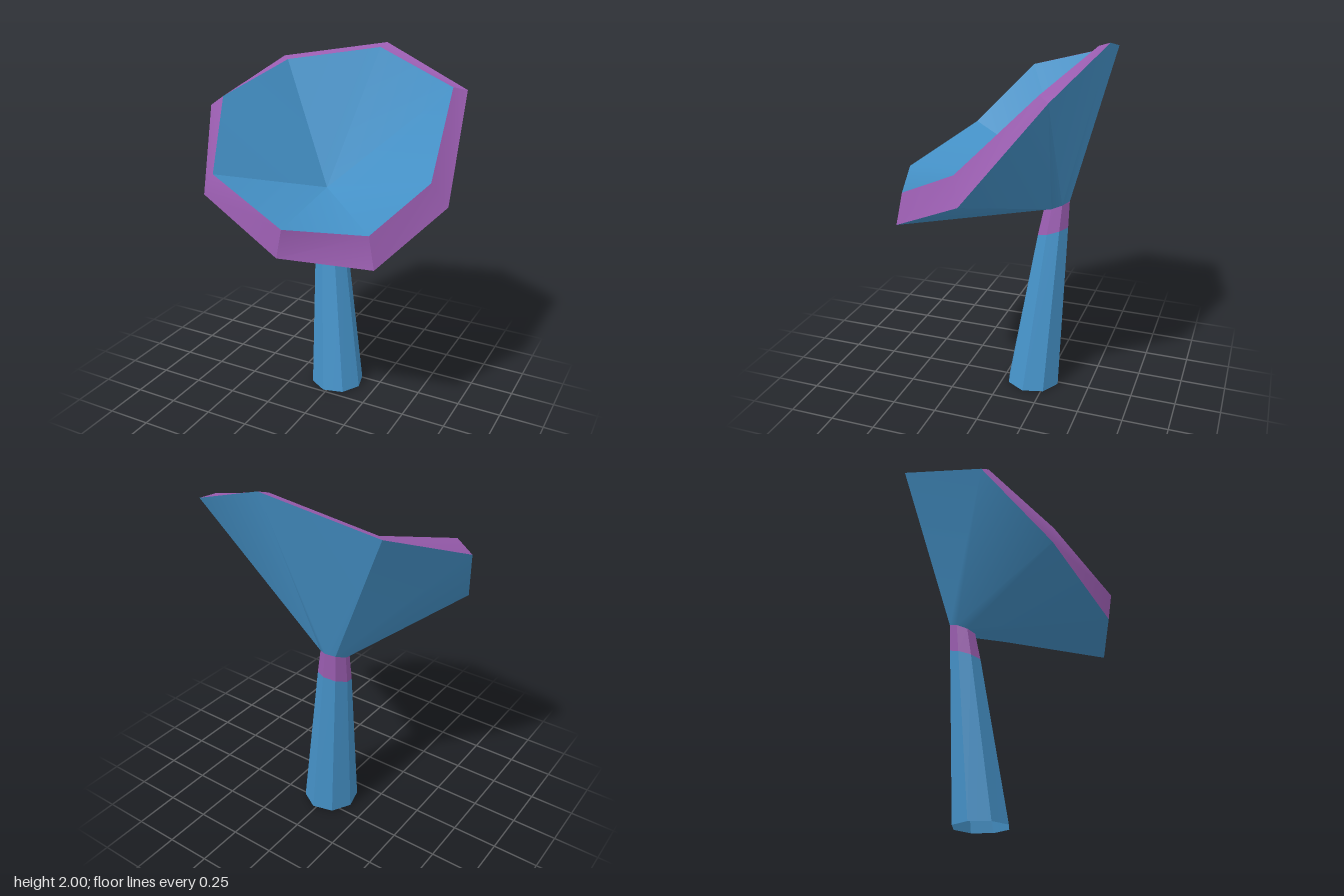
import * as THREE from 'three';
import { toCreasedNormals } from 'three/addons/utils/BufferGeometryUtils.js';

const SIDES = 8;
const CREASE = THREE.MathUtils.degToRad(35);

// Octagonal ring, starting at the front and running towards +x; tilts slope it in x and z
function ring(cx, cy, cz, r, tiltX = 0, tiltZ = 0) {
  const points = [];
  for (let i = 0; i < SIDES; i++) {
    const a = -0.13 + (i * Math.PI * 2) / SIDES;
    const dx = Math.sin(a) * r, dz = Math.cos(a) * r;
    points.push([cx + dx, cy + dx * tiltX + dz * tiltZ, cz + dz]);
  }
  return points;
}

function geometryOf(triangles) {
  const geometry = new THREE.BufferGeometry();
  geometry.setAttribute('position', new THREE.Float32BufferAttribute(triangles.flat(2), 3));
  return toCreasedNormals(geometry, CREASE);
}

// Wall of quads between two rings
function band(lower, upper) {
  const triangles = [];
  for (let i = 0; i < SIDES; i++) {
    const j = (i + 1) % SIDES;
    triangles.push([lower[i], lower[j], upper[j]], [lower[i], upper[j], upper[i]]);
  }
  return geometryOf(triangles);
}

// Fan of triangles from a ring to a single point
function fan(rim, apex) {
  return geometryOf(rim.map((p, i) => [p, rim[(i + 1) % SIDES], apex]));
}

export function createModel() {
  const group = new THREE.Group();
  const blue = new THREE.MeshStandardMaterial({ color: 0x4592c8, side: THREE.DoubleSide });
  blue.name = 'blue';
  const purple = new THREE.MeshStandardMaterial({ color: 0x9a5db0, side: THREE.DoubleSide });
  purple.name = 'purple';

  const add = (name, geometry, material) => {
    const mesh = new THREE.Mesh(geometry, material);
    mesh.name = name;
    group.add(mesh);
  };

  // Leaning stem sections
  const foot = ring(0, 0, -0.168, 0.155);
  const collarBottom = ring(-0.089, 0.92, -0.243, 0.09, 0.08, -0.34);
  const collarTop = ring(-0.103, 1.07, -0.258, 0.076, 0, -0.4);

  // Lopsided cup edge, outer and inner
  const outerRim = [
    [0.01, 1.09, 0.54], [0.49, 1.08, 0.43], [0.70, 1.30, 0], [0.63, 1.81, -0.41],
    [0.10, 2.00, -0.56], [-0.52, 1.89, -0.48], [-0.70, 1.68, 0.03], [-0.54, 1.28, 0.36],
  ];
  const innerRim = [
    [0.05, 1.255, 0.555], [0.45, 1.245, 0.41], [0.62, 1.43, 0.05], [0.57, 1.83, -0.35],
    [0.085, 1.98, -0.50], [-0.47, 1.88, -0.43], [-0.61, 1.74, 0.04], [-0.48, 1.40, 0.355],
  ];

  add('stem', band(foot, collarBottom), blue);
  add('collar', band(collarBottom, collarTop), purple);
  add('cupOutside', band(collarTop, outerRim), blue);
  add('cupRim', band(outerRim, innerRim), purple);
  add('cupInside', fan(innerRim, [-0.15, 1.18, -0.31]), blue);

  return group;
}
